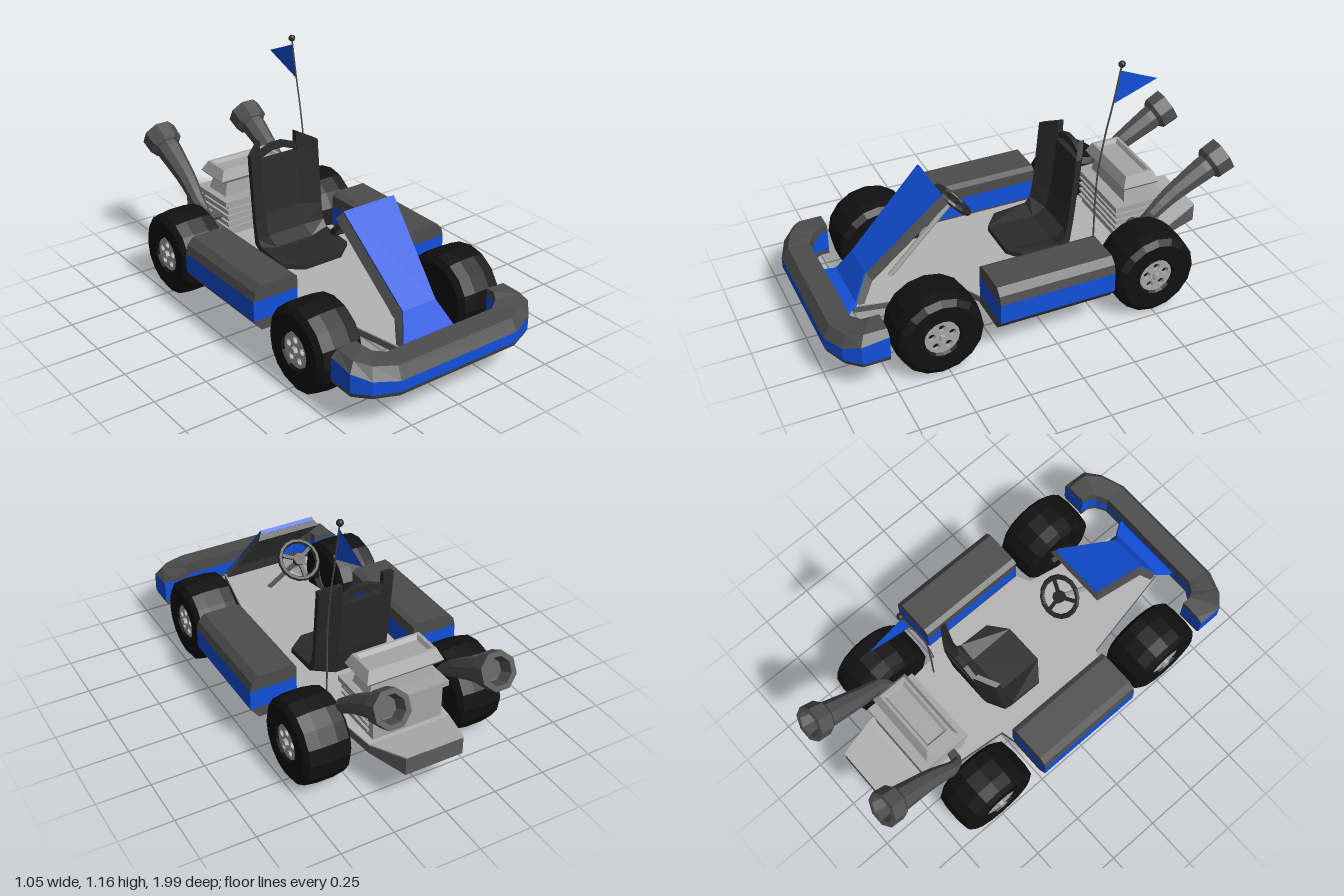
import * as THREE from 'three';

const V = (x, y, z) => new THREE.Vector3(x, y, z);
const mat = (color) => new THREE.MeshStandardMaterial({ color, flatShading: true, side: THREE.DoubleSide });
const BLUE = mat(0x1250dc), TRIM = mat(0x4c4c4c), BLACK = mat(0x111111), SEAT = mat(0x2a2a2a);
const METAL = mat(0xa6a6a6), FLOOR = mat(0xb4b4b4), PAN = mat(0x5c5c5c), PIPE = mat(0x505050);

// Closed solid through a list of equal-length rings, always facing outward
function loft(rings) {
  const tris = [], n = rings[0].length;
  for (let i = 0; i < rings.length - 1; i++) {
    for (let j = 0; j < n; j++) {
      const k = (j + 1) % n, a = rings[i], b = rings[i + 1];
      tris.push([a[j], a[k], b[k]], [a[j], b[k], b[j]]);
    }
  }
  for (const [ring, flip] of [[rings[0], true], [rings[rings.length - 1], false]]) {
    const c = ring.reduce((s, p) => s.add(p), V(0, 0, 0)).divideScalar(n);
    for (let j = 0; j < n; j++) {
      const k = (j + 1) % n;
      tris.push(flip ? [c, ring[k], ring[j]] : [c, ring[j], ring[k]]);
    }
  }
  const volume = tris.reduce((s, [a, b, c]) => s + a.dot(b.clone().cross(c)), 0);
  if (volume < 0) tris.forEach((t) => t.reverse());
  const geo = new THREE.BufferGeometry().setFromPoints(tris.flat());
  geo.computeVertexNormals();
  return geo;
}

function add(parent, name, geo, material) {
  const mesh = new THREE.Mesh(geo, material);
  mesh.name = name;
  parent.add(mesh);
  return mesh;
}

// Stack of rectangles: each level is [y, half width, back z, front z]
const stack = (levels) => loft(levels.map(([y, w, z0, z1]) =>
  [V(-w, y, z0), V(w, y, z0), V(w, y, z1), V(-w, y, z1)]));

function circle(center, dir, r, n = 8) {
  const d = dir.clone().normalize();
  const u = V(0, 0.89, 0.46).cross(d).normalize(), v = d.clone().cross(u);
  return Array.from({ length: n }, (_, i) => {
    const a = ((i + 0.5) / n) * Math.PI * 2;
    return center.clone().addScaledVector(u, r * Math.cos(a)).addScaledVector(v, r * Math.sin(a));
  });
}

function makeWheel() {
  const wheel = new THREE.Group();
  const profile = [[0.076, -0.09], [0.09, -0.112], [0.165, -0.114], [0.193, -0.095], [0.201, -0.04],
    [0.201, 0.04], [0.193, 0.095], [0.165, 0.114], [0.09, 0.112], [0.076, 0.09]];
  add(wheel, 'tyre', new THREE.LatheGeometry(profile.map(([r, y]) => new THREE.Vector2(r, y)), 16), BLACK)
    .rotation.z = Math.PI / 2;
  add(wheel, 'wheelCore', new THREE.CylinderGeometry(0.079, 0.079, 0.17, 16), BLACK).rotation.z = Math.PI / 2;
  // Rim disc with five round holes
  const shape = new THREE.Shape().absarc(0, 0, 0.08, 0, Math.PI * 2);
  for (let i = 0; i < 5; i++) {
    const a = Math.PI / 2 + (i * Math.PI * 2) / 5;
    shape.holes.push(new THREE.Path().absarc(0.049 * Math.cos(a), 0.049 * Math.sin(a), 0.016, 0, Math.PI * 2, true));
  }
  const rim = new THREE.ExtrudeGeometry(shape, { depth: 0.02, bevelEnabled: false, curveSegments: 8 });
  add(wheel, 'rim', rim.rotateY(Math.PI / 2).translate(0.082, 0, 0), METAL);
  add(wheel, 'hubCap', new THREE.CylinderGeometry(0.016, 0.02, 0.02, 6), METAL).rotation.z = -Math.PI / 2;
  wheel.getObjectByName('hubCap').position.x = 0.108;
  return wheel;
}

export function createModel() {
  const kart = new THREE.Group();
  kart.name = 'goKart';

  // Chassis pan and floor: [z, half width, top y]
  const outline = [[0.81, 0.14, 0.215], [0.32, 0.235, 0.215], [0.28, 0.31, 0.215], [-0.265, 0.31, 0.215],
    [-0.28, 0.245, 0.215], [-0.71, 0.2, 0.225], [-0.9, 0.14, 0.27]];
  const slab = (drop, rise) => loft(outline.map(([z, w, y]) => {
    const lo = drop ? y - drop : 0.185;
    return [V(-w, lo, z), V(w, lo, z), V(w, y + rise, z), V(-w, y + rise, z)];
  }));
  add(kart, 'chassisPan', slab(0, 0), PAN);
  add(kart, 'floor', slab(0.002, 0.006), FLOOR);

  // Wheels
  for (const z of [0.533, -0.5]) {
    for (const s of [1, -1]) {
      const wheel = makeWheel();
      wheel.name = (z > 0 ? 'front' : 'rear') + (s > 0 ? 'LeftWheel' : 'RightWheel');
      wheel.position.set(s * 0.379 - 0.006, 0.204, z);
      if (s < 0) wheel.rotation.y = Math.PI;
      kart.add(wheel);
    }
  }

  // Side pods in three bands
  const bands = [
    ['podBase', TRIM, [[0.3, 0.18], [0.485, 0.18], [0.525, 0.23], [0.3, 0.23]]],
    ['podStripe', BLUE, [[0.3, 0.23], [0.525, 0.23], [0.525, 0.325], [0.3, 0.325]]],
    ['podTop', TRIM, [[0.3, 0.325], [0.525, 0.325], [0.515, 0.365], [0.485, 0.395], [0.325, 0.395], [0.3, 0.38]]],
  ];
  for (const s of [1, -1]) {
    for (const [name, m, section] of bands) {
      add(kart, name, loft([0.285, -0.262].map((z) => section.map(([x, y]) => V(s * x, y, z)))), m);
    }
  }

  // Front bumper: [outer x, outer z, inner x, inner z, stripe top y, inner top y]
  const half = [[0.48, 0.765, 0.355, 0.765, 0.29, 0.32], [0.48, 0.89, 0.355, 0.805, 0.275, 0.32],
    [0.42, 0.955, 0.335, 0.84, 0.25, 0.305], [0.31, 1, 0.285, 0.87, 0.237, 0.295]];
  const stations = [...half, ...half.slice().reverse().map(([a, b, c, ...r]) => [-a, b, -c, ...r])];
  const bumperBand = (section) => loft(stations.map(([ox, oz, ix, iz, ys, yt]) =>
    section(ys, yt).map(([t, y]) => V(ix + (ox - ix) * t, y, iz + (oz - iz) * t))));
  add(kart, 'bumperBase', bumperBand(() => [[0, 0.165], [0.93, 0.165], [1, 0.187], [0, 0.187]]), TRIM);
  add(kart, 'bumperStripe', bumperBand((ys) => [[0, 0.187], [1, 0.187], [1, ys], [0, ys]]), BLUE);
  add(kart, 'bumperTop', bumperBand((ys, yt) => [[0, ys], [1, ys], [0.75, yt - 0.005], [0, yt]]), TRIM);

  // Front fairing: [y, z, front half width, back half width]
  const fairing = [[0.68, 0.39, 0.135, 0.157], [0.345, 0.735, 0.088, 0.112], [0.24, 0.8, 0.135, 0.15], [0.215, 0.875, 0.185, 0.185]];
  add(kart, 'fairingPanel', loft(fairing.map(([y, z, w]) =>
    [V(-w, y, z), V(w, y, z), V(w, y - 0.014, z - 0.012), V(-w, y - 0.014, z - 0.012)])), BLUE);
  add(kart, 'fairingBacking', loft(fairing.slice(0, 3).map(([y, z, w, b]) =>
    [V(-w, y - 0.006, z - 0.004), V(w, y - 0.006, z - 0.004), V(b, y - 0.038, z - 0.025), V(-b, y - 0.038, z - 0.025)])), TRIM);

  // Steering wheel and column
  const steering = new THREE.Group();
  steering.name = 'steering';
  steering.position.set(-0.005, 0.54, 0.28);
  steering.rotation.x = 0.8;
  add(steering, 'steeringRim', new THREE.TorusGeometry(0.092, 0.012, 6, 16), SEAT);
  add(steering, 'steeringHub', new THREE.CylinderGeometry(0.026, 0.03, 0.03, 8).rotateX(Math.PI / 2), SEAT);
  for (let i = 0; i < 3; i++) {
    add(steering, 'steeringSpoke', new THREE.BoxGeometry(0.09, 0.016, 0.01).translate(0.047, 0, 0), SEAT)
      .rotation.z = Math.PI / 6 + (i * Math.PI * 2) / 3;
  }
  add(steering, 'steeringColumn', new THREE.CylinderGeometry(0.012, 0.012, 0.45, 8).rotateX(Math.PI / 2).translate(0, 0, 0.225), METAL);
  kart.add(steering);

  // Seat shell: [front z, front y, back z, back y, bolster dz, bolster dy]
  const seat = [[0.07, 0.275, 0.07, 0.25, -0.07, 0], [-0.16, 0.265, -0.17, 0.235, 0, 0.025],
    [-0.225, 0.3, -0.25, 0.27, 0.04, 0.02], [-0.25, 0.4, -0.275, 0.395, 0.05, 0],
    [-0.28, 0.66, -0.308, 0.66, 0.055, 0], [-0.285, 0.757, -0.312, 0.757, 0.055, -0.042]];
  add(kart, 'seatCentre', loft(seat.slice(0, 5).map(([z, y, bz, by]) =>
    [V(-0.1, y, z), V(0.1, y, z), V(0.1, by, bz), V(-0.1, by, bz)])), SEAT);
  for (const s of [1, -1]) {
    add(kart, 'seatBolster', loft(seat.map(([z, y, bz, by, dz, dy]) => [V(s * 0.1, y, z),
      V(s * 0.186, y + dy, z + dz), V(s * 0.186, by + dy, bz + dz), V(s * 0.1, by, bz)])), SEAT);
  }
  add(kart, 'seatTopBar', loft([[-0.1, 0.7], [-0.03, 0.727], [0.03, 0.727], [0.1, 0.7]].map(([x, y]) =>
    [V(x, y, -0.285), V(x, y, -0.308), V(x, y - 0.032, -0.308), V(x, y - 0.032, -0.285)])), SEAT);

  // Engine
  add(kart, 'engineBlock', stack([[0.2, 0.17, -0.69, -0.46], [0.39, 0.17, -0.69, -0.46]]), METAL);
  for (let i = 0; i < 4; i++) {
    const y = 0.255 + i * 0.032;
    add(kart, 'engineFin', stack([[y, 0.182, -0.66, -0.448], [y + 0.012, 0.182, -0.66, -0.448]]), METAL);
  }
  add(kart, 'enginePlate', stack([[0.385, 0.195, -0.7, -0.44], [0.41, 0.195, -0.7, -0.44]]), METAL);
  add(kart, 'engineNeck', stack([[0.41, 0.16, -0.64, -0.5], [0.487, 0.14, -0.625, -0.51]]), METAL);
  add(kart, 'airCover', stack([[0.485, 0.175, -0.655, -0.49], [0.5, 0.188, -0.665, -0.48], [0.55, 0.165, -0.638, -0.5],
    [0.55, 0.15, -0.625, -0.512], [0.532, 0.14, -0.615, -0.525]]), METAL);

  // Flared exhausts with hollow mouths
  for (const s of [1, -1]) {
    const curve = new THREE.CatmullRomCurve3([V(0.17, 0.31, -0.53), V(0.235, 0.315, -0.54),
      V(0.257, 0.365, -0.575), V(0.25, 0.45, -0.69), V(0.25, 0.575, -0.9)]);
    const mirror = (rings) => rings.map((ring) => ring.map((p) => V(s * p.x, p.y, p.z)));
    const rings = Array.from({ length: 11 }, (_, i) =>
      circle(curve.getPointAt(i / 10), curve.getTangentAt(i / 10), 0.02 + 0.04 * Math.min(1, i / 9)));
    add(kart, 'exhaustPipe', loft(mirror(rings)), PIPE);
    const dir = V(0, 0.46, -0.89).normalize();
    const mouth = [[0, 0.064], [0.018, 0.083], [0.09, 0.086], [0.09, 0.062], [0.03, 0.05]];
    add(kart, 'exhaustMouth', loft(mirror(mouth.map(([t, r]) =>
      circle(V(0.25, 0.563, -0.875).addScaledVector(dir, t), dir, r)))), PIPE);
  }

  // Whip pole with pennant
  const pole = new THREE.CatmullRomCurve3([V(0.188, 0.21, -0.33), V(0.188, 0.6, -0.338),
    V(0.188, 0.82, -0.37), V(0.188, 0.96, -0.4), V(0.188, 1.15, -0.435)]);
  add(kart, 'flagPole', new THREE.TubeGeometry(pole, 16, 0.004, 6), TRIM);
  add(kart, 'poleBall', new THREE.IcosahedronGeometry(0.016, 1).translate(0.188, 1.15, -0.435), SEAT);
  const flag = new THREE.BufferGeometry().setFromPoints([V(0.188, 1.12, -0.431), V(0.188, 0.963, -0.4), V(0.188, 1.043, -0.615)]);
  flag.computeVertexNormals();
  add(kart, 'flag', flag, BLUE);

  return kart;
}
